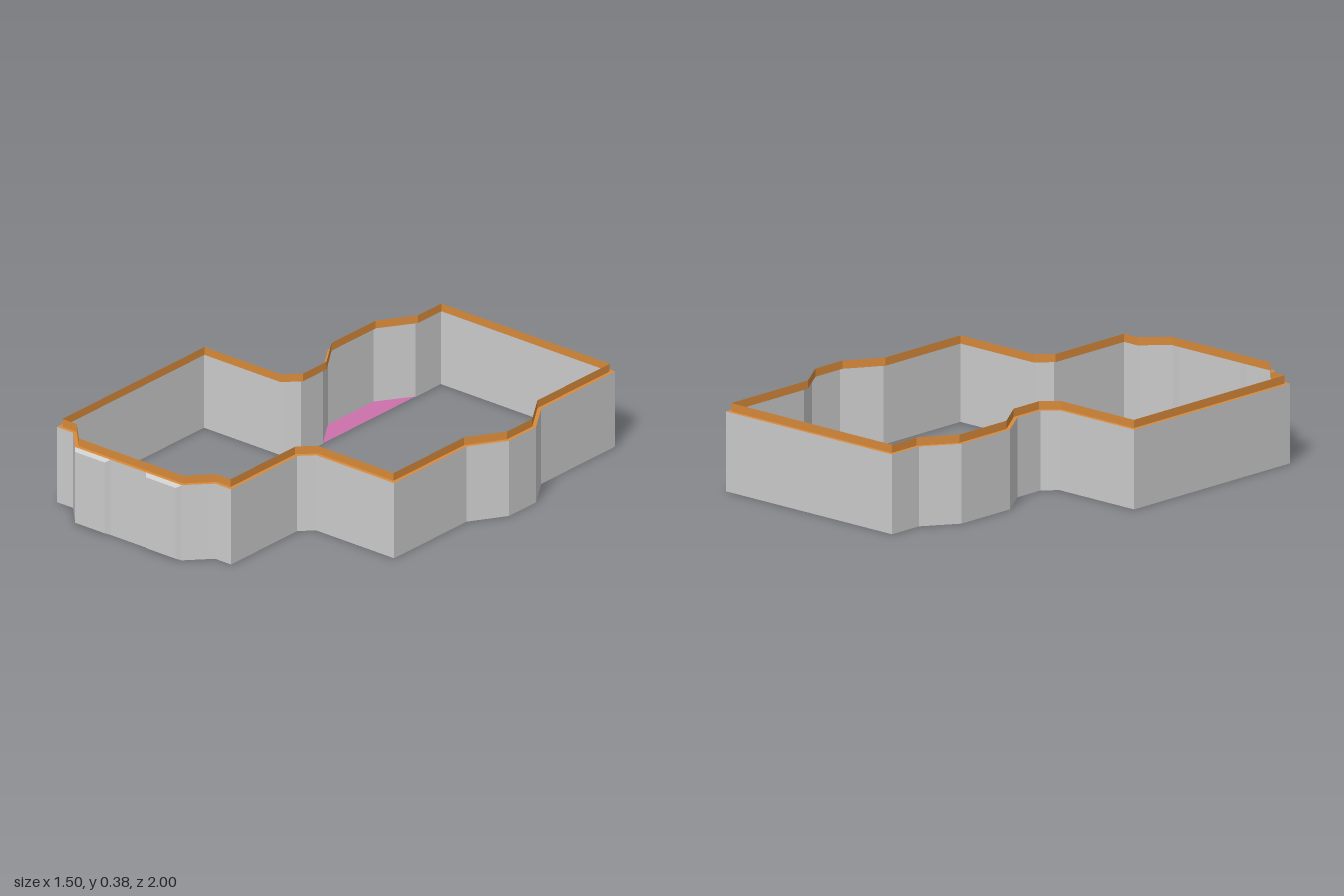
import * as THREE from 'three';

const H = 0.34, TOP = 0.375, INSET = 0.016;
const grey = new THREE.MeshStandardMaterial({ color: 0xcccccc, side: THREE.DoubleSide });
const orange = new THREE.MeshStandardMaterial({ color: 0xd98a3a, side: THREE.DoubleSide });
const pink = new THREE.MeshStandardMaterial({ color: 0xcc70aa, side: THREE.DoubleSide });

// Floor plan as [x, z], clockwise from the back right corner seen from above
const plan = [
  [-0.28, -1], [0.652, -1],
  [0.652, -0.53], [0.75, -0.38], [0.75, -0.21], [0.652, -0.055],
  [0.652, 0.405], [0.235, 0.405], [0.18, 0.46], [0.18, 0.88],
  [0.095, 0.88], [0, 0.98], [-0.57, 0.98], [-0.665, 0.88],
  [-0.752, 0.88], [-0.752, -0.055], [-0.335, -0.055], [-0.28, -0.11],
  [-0.28, -0.25], [-0.38, -0.4], [-0.38, -0.69], [-0.28, -0.84],
];
const FRONT = 11; // index of the straight front of the bay

// Moves every corner of the plan inwards by a mitred distance
function inset(points, d) {
  const n = points.length;
  const normal = (a, b) => {
    const l = Math.hypot(b[0] - a[0], b[1] - a[1]);
    return [-(b[1] - a[1]) / l, (b[0] - a[0]) / l];
  };
  return points.map((p, i) => {
    const n1 = normal(points[(i + n - 1) % n], p);
    const n2 = normal(p, points[(i + 1) % n]);
    const k = d / (1 + n1[0] * n2[0] + n1[1] * n2[1]);
    return [p[0] + (n1[0] + n2[0]) * k, p[1] + (n1[1] + n2[1]) * k];
  });
}

// Flat-shaded mesh from a list of four-cornered faces
function quadMesh(name, quads, material) {
  const pos = [];
  for (const [a, b, c, d] of quads) pos.push(...a, ...b, ...c, ...a, ...c, ...d);
  const g = new THREE.BufferGeometry();
  g.setAttribute('position', new THREE.Float32BufferAttribute(pos, 3));
  g.computeVertexNormals();
  const mesh = new THREE.Mesh(g, material);
  mesh.name = name;
  return mesh;
}

// Faces of a band running around the plan between two rings
function band(lower, y0, upper, y1, skip = -1) {
  const quads = [];
  lower.forEach((a, i) => {
    if (i === skip) return;
    const j = (i + 1) % lower.length;
    const b = lower[j], c = upper[i], d = upper[j];
    quads.push([[b[0], y0, b[1]], [a[0], y0, a[1]], [c[0], y1, c[1]], [d[0], y1, d[1]]]);
  });
  return quads;
}

// Raised panel, open behind, with bevelled edges
function panelQuads(x0, x1) {
  const e = 0.015, z0 = 0.98, z1 = 1;
  const o = [[x0, 0, z0], [x1, 0, z0], [x1, H, z0], [x0, H, z0]];
  const f = [[x0 + e, 0.01, z1], [x1 - e, 0.01, z1], [x1 - e, H - 0.01, z1], [x0 + e, H - 0.01, z1]];
  const quads = [f];
  for (let i = 0; i < 4; i++) {
    const j = (i + 1) % 4;
    quads.push([o[i], o[j], f[j], f[i]]);
  }
  return quads;
}

// Flat floor piece closing a bay or a cut corner
function floorPiece(name, points) {
  const shape = new THREE.Shape(points.map(([x, z]) => new THREE.Vector2(x, -z)));
  const mesh = new THREE.Mesh(new THREE.ShapeGeometry(shape), pink);
  mesh.rotation.x = -Math.PI / 2;
  mesh.position.y = 0.002;
  mesh.name = name;
  return mesh;
}

export function createModel() {
  const model = new THREE.Group();
  model.name = 'roomShell';

  // Walls, leaving the front of the bay for the panels
  model.add(quadMesh('walls', band(plan, 0, plan, H, FRONT), grey));
  model.add(quadMesh('bayFrontWall',
    [[[-0.38, 0, 0.98], [-0.19, 0, 0.98], [-0.19, H, 0.98], [-0.38, H, 0.98]]], grey));
  model.add(quadMesh('leftPanel', panelQuads(-0.19, 0), grey));
  model.add(quadMesh('rightPanel', panelQuads(-0.57, -0.38), grey));

  // Rim: a narrow ledge and an upright strip
  const inner = inset(plan, INSET);
  model.add(quadMesh('rim', [...band(plan, H, inner, H), ...band(inner, H, inner, TOP)], orange));

  // Floors of the bays and cut corners
  model.add(floorPiece('leftBayFloor', plan.slice(2, 6)));
  model.add(floorPiece('frontBayFloor', plan.slice(10, 14)));
  model.add(floorPiece('rightBayFloor', plan.slice(18, 22)));
  model.add(floorPiece('leftCornerFloor', [plan[7], plan[8], [0.18, 0.405]]));
  model.add(floorPiece('rightCornerFloor', [plan[16], plan[17], [-0.28, -0.055]]));

  return model;
}
